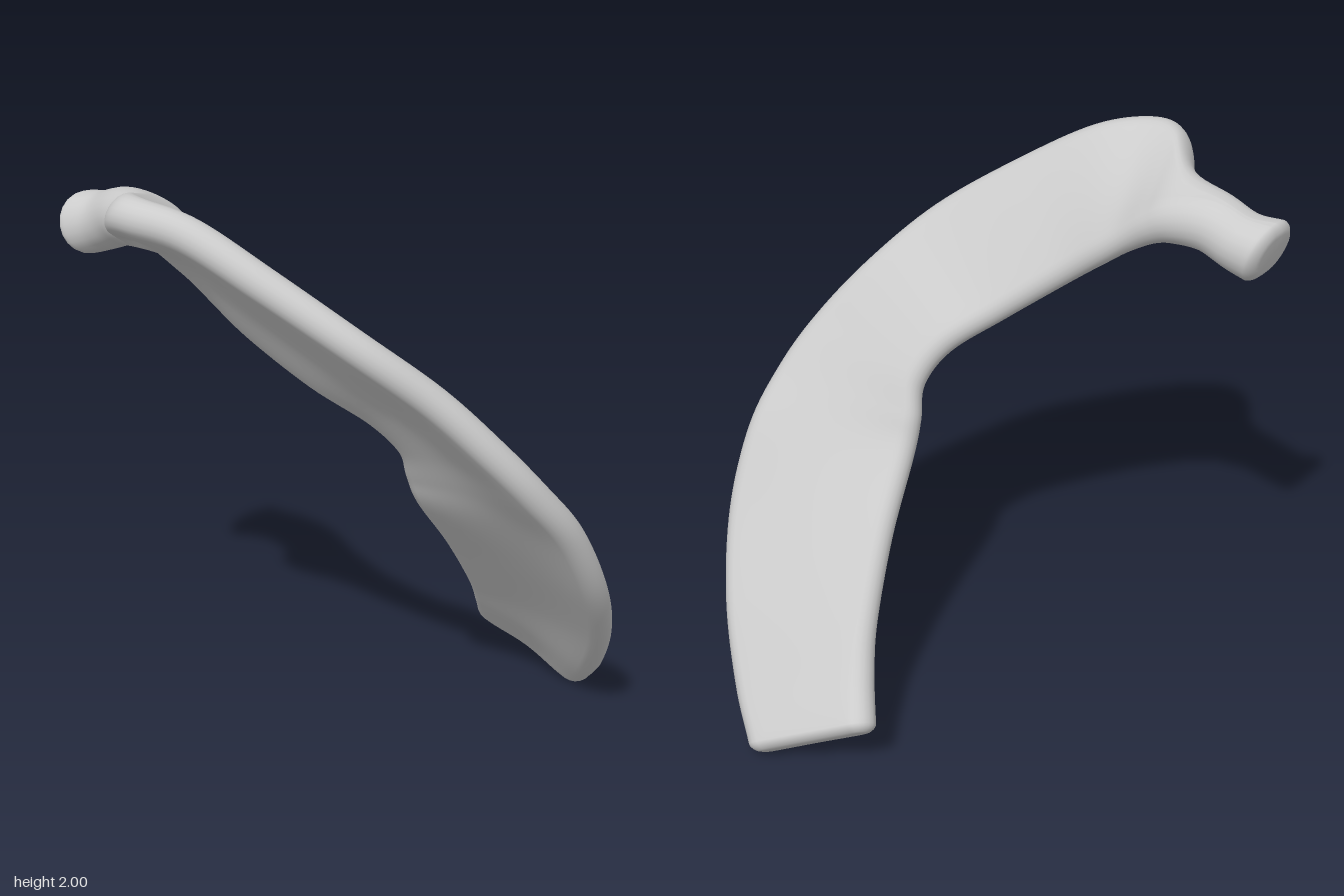
import * as THREE from 'three';

// Stations along the bone: inner edge, outer edge, thickness
const STATIONS = [
  [[-0.10, 0.24, -0.62], [0.32, 0.025, -0.785], 0.13],
  [[-0.02, 0.34, -0.53], [0.46, 0.165, -0.70], 0.125],
  [[0.05, 0.47, -0.43], [0.62, 0.395, -0.57], 0.115],
  [[0.13, 0.70, -0.25], [0.74, 0.65, -0.41], 0.11],
  [[0.185, 0.92, -0.065], [0.78, 0.90, -0.255], 0.11],
  [[0.20, 1.03, -0.01], [0.765, 1.08, -0.105], 0.11],
  [[0.225, 1.14, 0.04], [0.71, 1.24, 0.03], 0.11],
  [[0.18, 1.25, 0.13], [0.60, 1.43, 0.19], 0.11],
  [[0.05, 1.365, 0.26], [0.45, 1.62, 0.39], 0.11],
  [[-0.12, 1.51, 0.37], [0.22, 1.80, 0.57], 0.115],
  [[-0.25, 1.62, 0.415], [0.00, 1.935, 0.71], 0.12],
  [[-0.33, 1.69, 0.43], [-0.17, 1.97, 0.805], 0.13],
  [[-0.40, 1.74, 0.435], [-0.29, 1.955, 0.80], 0.145],
  [[-0.47, 1.77, 0.44], [-0.42, 1.88, 0.68], 0.175],
  [[-0.58, 1.79, 0.447], [-0.58, 1.835, 0.655], 0.19],
  [[-0.68, 1.765, 0.45], [-0.68, 1.79, 0.66], 0.195],
  [[-0.755, 1.75, 0.46], [-0.755, 1.765, 0.70], 0.21],
];
const QUARTER = 10, SIDES = QUARTER * 4, STEPS = 128;

const curve = (pick) => new THREE.CatmullRomCurve3(
  STATIONS.map((s) => new THREE.Vector3(...pick(s))), false, 'catmullrom', 0.5);
const inner = curve((s) => s[0]);
const outer = curve((s) => s[1]);
const thick = curve((s) => [s[2], 0, 0]);
const middle = (u) => inner.getPoint(u).add(outer.getPoint(u)).multiplyScalar(0.5);

// Flat section with round edges at u, moved along the bone and inset for the end caps
function section(u, inset = 0, shift = 0) {
  const c = middle(u);
  const t = middle(Math.min(1, u + 0.015)).sub(middle(Math.max(0, u - 0.015))).normalize();
  const w = outer.getPoint(u).sub(inner.getPoint(u));
  const halfW = w.length() / 2 - inset;
  const r = Math.min(thick.getPoint(u).x / 2 - inset, halfW);
  const core = halfW - r;
  w.normalize();
  const n = t.clone().cross(w).normalize();
  c.addScaledVector(t, shift);
  const ring = [];
  for (let j = 0; j < SIDES; j++) {
    const f = (j % QUARTER) / QUARTER;
    const a = (f - 0.5) * Math.PI;
    // shallow hollow along the underside of the flat body
    const hollow = core > r ? 0.2 * Math.sin(f * Math.PI) ** 2 : 0;
    const [x, y] = [
      [core + r * Math.cos(a), r * Math.sin(a)],
      [core * (1 - 2 * f), r],
      [-core - r * Math.cos(a), -r * Math.sin(a)],
      [core * (2 * f - 1), -r * (1 - hollow)],
    ][Math.floor(j / QUARTER)];
    ring.push(c.clone().addScaledVector(w, x).addScaledVector(n, y));
  }
  return { ring, c };
}

function boneGeometry() {
  const sections = [];
  const cap = [[0.04, 0.03], [0.024, 0.026], [0.011, 0.018], [0.003, 0.009]];
  cap.forEach(([inset, shift]) => sections.push(section(0, inset, -shift)));
  for (let i = 0; i <= STEPS; i++) sections.push(section(i / STEPS));
  cap.slice().reverse().forEach(([inset, shift]) => sections.push(section(1, inset, shift)));

  const pos = [], idx = [];
  sections.forEach((s) => s.ring.forEach((p) => pos.push(p.x, p.y, p.z)));
  const last = sections.length - 1;
  const a0 = pos.length / 3, a1 = a0 + 1;
  [sections[0].c, sections[last].c].forEach((p) => pos.push(p.x, p.y, p.z));
  for (let j = 0; j < SIDES; j++) {
    const k = (j + 1) % SIDES;
    for (let i = 0; i < last; i++) {
      const a = i * SIDES + j, b = i * SIDES + k, c = a + SIDES, d = b + SIDES;
      idx.push(a, b, d, a, d, c);
    }
    idx.push(a0, k, j, a1, last * SIDES + j, last * SIDES + k);
  }
  const g = new THREE.BufferGeometry();
  g.setAttribute('position', new THREE.Float32BufferAttribute(pos, 3));
  g.setIndex(idx);
  g.computeVertexNormals();
  return g;
}

export function createModel() {
  const group = new THREE.Group();
  group.name = 'ribBone';
  const bone = new THREE.Mesh(boneGeometry(), new THREE.MeshStandardMaterial({ color: 0xcccccc }));
  bone.name = 'rib';
  group.add(bone);
  return group;
}
